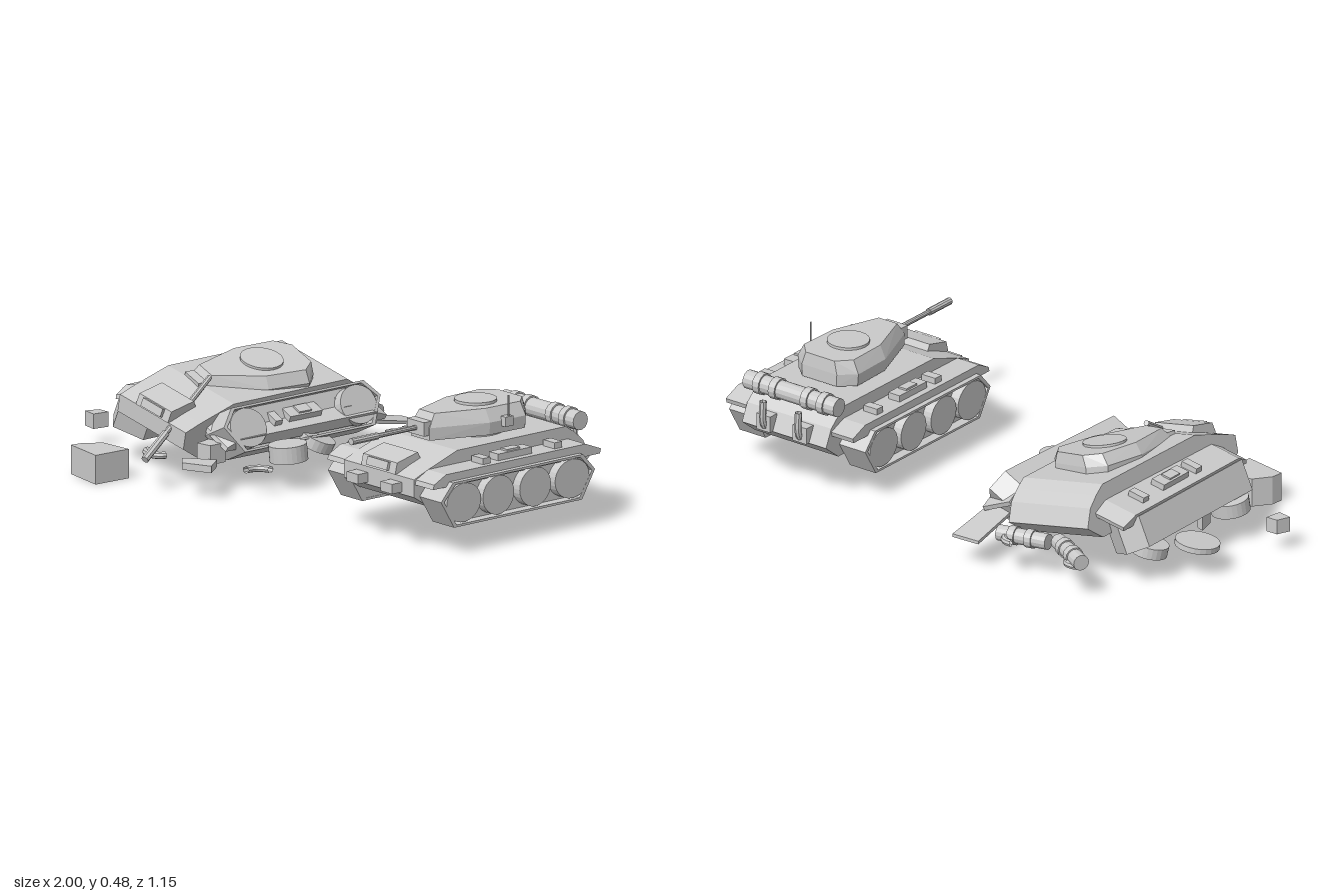
import * as THREE from 'three';
import { ConvexGeometry } from 'three/addons/geometries/ConvexGeometry.js';

const grey = new THREE.MeshStandardMaterial({ color: 0xcacaca });
grey.name = 'plain grey';
const V = (x, y, z) => new THREE.Vector3(x, y, z);

function add(parent, name, geo, pos = [0, 0, 0], rot = [0, 0, 0]) {
  const m = new THREE.Mesh(geo.index ? geo.toNonIndexed() : geo, grey);
  m.geometry.computeVertexNormals();
  m.name = name;
  m.position.set(...pos);
  m.rotation.set(...rot);
  parent.add(m);
  return m;
}
function group(parent, name, pos = [0, 0, 0], rot = [0, 0, 0], scale = [1, 1, 1]) {
  const g = new THREE.Group();
  g.name = name;
  g.position.set(...pos);
  g.rotation.set(...rot);
  g.scale.set(...scale);
  parent.add(g);
  return g;
}
const box = (w, h, d) => new THREE.BoxGeometry(w, h, d);
const cyl = (r, h, n = 20) => new THREE.CylinderGeometry(r, r, h, n);

// side profile of [z, y] points extruded along x from x0 to x1
function prism(profile, x0, x1, hole) {
  const s = new THREE.Shape(profile.map(p => new THREE.Vector2(...p)));
  if (hole) s.holes.push(new THREE.Path(hole.map(p => new THREE.Vector2(...p))));
  const g = new THREE.ExtrudeGeometry(s, { depth: x1 - x0, bevelEnabled: false });
  return g.rotateY(-Math.PI / 2).translate(x1, 0, 0);
}
// convex solid through mirrored points
const mirrored = pts => new ConvexGeometry(pts.flatMap(([x, y, z]) => [V(x, y, z), V(-x, y, z)]));
// straight rod between two points
function rod(parent, name, a, b, r, n = 8) {
  const d = b.clone().sub(a);
  const m = add(parent, name, cyl(r, d.length(), n), a.clone().add(b).multiplyScalar(0.5).toArray());
  m.quaternion.setFromUnitVectors(V(0, 1, 0), d.normalize());
}

// hollow, open-bottomed hull: one outline gives the side walls and the plating between them
const hullOutline = [[0.29, 0.155], [0.36, 0.2], [0.36, 0.264], [0.3, 0.288], [0.16, 0.336],
  [-0.34, 0.336], [-0.38, 0.31], [-0.42, 0.275], [-0.45, 0.21], [-0.38, 0.155]];
const hullInside = hullOutline.map(([z, y]) => [-0.045 + (z + 0.045) * 0.975, y < 0.16 ? y : 0.155 + (y - 0.155) * 0.95]);
function hull(g) {
  add(g, 'hullSide', prism(hullOutline, -0.185, -0.177));
  add(g, 'hullSide', prism(hullOutline, 0.177, 0.185));
  add(g, 'hullPlating', prism([...hullOutline, ...hullInside.reverse()], -0.18, 0.18));
  hullInside.reverse();
  add(g, 'driverHousing', prism([[0.365, 0.265], [0.355, 0.305], [0.26, 0.328], [0.24, 0.29]], -0.09, 0.09));
  add(g, 'visionPort', box(0.11, 0.03, 0.012), [0, 0.288, 0.364], [-0.25, 0, 0]);
}

// mudguard with its stowage, centred on its own x
function fender(g, w = 0.1) {
  add(g, 'fenderPlate', prism([[0.355, 0.245], [0.35, 0.262], [0.295, 0.29], [-0.35, 0.29],
    [-0.42, 0.262], [-0.415, 0.245]], -w / 2, w / 2));
  add(g, 'stowageBox', box(0.05, 0.026, 0.155), [0, 0.301, -0.045]);
  add(g, 'stowageLid', box(0.035, 0.008, 0.06), [0, 0.317, -0.045]);
  for (const z of [0.09, -0.24]) add(g, 'stowageClamp', box(0.06, 0.024, 0.035), [0, 0.3, z]);
}

// angular track loop with recessed centre, centred on its own x
const loop = [[0.275, 0.1], [0.335, 0.2], [0.28, 0.262], [-0.32, 0.262], [-0.375, 0.2], [-0.315, 0.1]];
const inset = loop.map(([z, y]) => [-0.02 + (z + 0.02) * 0.96, 0.181 + (y - 0.181) * 0.9]);
function track(g, side, wheels) {
  add(g, 'trackBand', prism(loop, -0.057, 0.057, inset));
  add(g, 'trackCore', prism(inset, side > 0 ? -0.055 : -0.02, side > 0 ? 0.02 : 0.055));
  wheels.forEach(z => {
    const m = add(g, 'roadWheel', cyl(0.07, 0.045, 28), [side * 0.034, 0.183, z], [0, 0, Math.PI / 2]);
    m.scale.z = Math.abs(z) > 0.2 ? 1.13 : 1.03;
  });
}

// faceted turret with hatch; its origin is the turret ring
function turret(g) {
  const plan = [[0.075, -0.25], [0.13, -0.2], [0.125, -0.04], [0.048, 0.17]];
  add(g, 'turretBody', mirrored([
    ...plan.map(([x, z]) => [x, 0.01, z]),
    ...plan.map(([x, z]) => [x * 1.03, 0.055, z]),
    ...plan.map(([x, z]) => [x * 0.84, 0.102, z > 0 ? 0.14 : z * 0.98])]));
  add(g, 'turretRing', cyl(0.11, 0.03, 24), [0, 0.005, -0.07]);
  add(g, 'hatch', cyl(0.075, 0.012, 24), [0, 0.106, -0.085]);
  add(g, 'mantlet', box(0.09, 0.05, 0.035), [0, 0.053, 0.175]);
}

// fuel drum with two bands, along x
function drum(g) {
  add(g, 'fuelDrum', cyl(0.034, 0.2, 14), [0, 0, 0], [0, 0, Math.PI / 2]);
  for (const x of [-0.03, 0.04])
    add(g, 'drumBand', cyl(0.04, 0.028, 14), [x, 0, 0], [0, 0, Math.PI / 2]);
}

// upright exhaust pipe with a bent foot
function exhaust(g, pos) {
  const c = new THREE.CatmullRomCurve3([V(0, 0, 0), V(0, 0, -0.035), V(0, 0.03, -0.05), V(0, 0.1, -0.048)]);
  add(g, 'exhaustPipe', new THREE.TubeGeometry(c, 10, 0.013, 8), pos).material = pipeMat;
}
const pipeMat = grey.clone();
pipeMat.side = THREE.DoubleSide;

function intactTank(root) {
  const g = group(root, 'intactTank', [0.695, 0, 0]);
  hull(g);
  for (const s of [-1, 1]) {
    fender(group(g, 'fender', [s * 0.23, 0, 0]));
    track(group(g, 'track', [s * 0.243, 0, 0]), s, [0.23, 0.07, -0.1, -0.27]);
    exhaust(g, [s * 0.078, 0.225, -0.42]);
    add(g, 'towHook', box(0.06, 0.035, 0.05), [s * 0.09, 0.225, 0.38]);
    add(g, 'rearBracket', box(0.06, 0.06, 0.04), [s * 0.08, 0.24, -0.445]);
    drum(group(g, 'rearDrum', [s * 0.1, 0.35, -0.395], [0, s > 0 ? 0 : Math.PI, 0]));
  }
  const t = group(g, 'turret', [0, 0.335, 0]);
  turret(t);
  rod(t, 'gunBarrel', V(0, 0.052, 0.17), V(0, 0.052, 0.49), 0.009, 10);
  rod(t, 'gunSleeve', V(0, 0.052, 0.37), V(0, 0.052, 0.49), 0.013, 10);
  add(g, 'antennaMount', box(0.025, 0.035, 0.036), [0.138, 0.387, -0.11]);
  rod(g, 'antenna', V(0.146, 0.37, -0.11), V(0.146, 0.48, -0.11), 0.003, 6);
}

function wreckedTank(root) {
  const g = group(root, 'wreckedTank');
  hull(group(g, 'collapsedHull', [-0.515, -0.015, 0.018], [0, 0, -0.2], [0.96, 1, 1.05]));
  fender(group(g, 'leaningFender', [-0.645, 0.015, -0.01], [0, 0.02, 0.18], [1.1, 0.93, 0.93]), 0.12);
  fender(group(g, 'fallenFender', [-0.325, -0.035, -0.03], [0, -0.03, -0.42], [1.1, 0.93, 0.93]), 0.12);
  // tracks splayed outwards, pivoting about their own middle
  const a = group(g, 'splayedTrack', [-0.71, 0.175, 0], [0, 0.02, 1.15]);
  track(group(a, 'track', [0, -0.181, 0]), -1, [0.23, 0.07, -0.1]);
  const b = group(g, 'splayedTrack', [-0.225, 0.19, -0.03], [0, -0.02, 0.45]);
  track(group(b, 'track', [0, -0.181, 0]), 1, [0.23, -0.27]);
  turret(group(g, 'fallenTurret', [-0.465, 0.272, 0], [0.03, -0.2, -0.22], [1.08, 0.88, 1]));
  rod(g, 'droopingBarrel', V(-0.42, 0.345, 0.17), V(-0.345, 0.125, 0.535), 0.01, 8);
  rod(g, 'droopingSleeve', V(-0.369, 0.196, 0.417), V(-0.345, 0.125, 0.535), 0.014, 8);
  drum(group(g, 'fallenDrum', [-0.6, 0.14, -0.495], [0, -0.5, 0], [1, 0.85, 0.85]));
  drum(group(g, 'fallenDrum', [-0.39, 0.135, -0.485], [0, 0.12, -0.05], [1, 0.85, 0.85]));
}

function debris(root) {
  const g = group(root, 'debris');
  // loose wheels: x, y, z, radius, thickness, tilt
  [[-0.855, 0.105, -0.1, 0.08, 0.02, 0.1], [-0.755, 0.11, -0.24, 0.065, 0.04, 0.15],
    [-0.765, 0.12, 0.2, 0.07, 0.05, -0.1], [-0.085, 0.13, 0.1, 0.068, 0.06, 0.06],
    [-0.17, 0.12, -0.1, 0.068, 0.04, -0.3]].forEach(([x, y, z, r, h, t]) =>
    add(g, 'looseWheel', cyl(r, h, 24), [x, y, z], [t, 0, t]));
  // broken boxes
  const block = (name, plan, y0, y1) =>
    add(g, name, new ConvexGeometry(plan.flatMap(([x, z]) => [V(x, y0, z), V(x, y1, z)])));
  block('brokenCrate', [[-0.675, 0.44], [-0.55, 0.43], [-0.56, 0.575], [-0.725, 0.545], [-0.72, 0.5]], 0, 0.105);
  block('smallFragment', [[-0.98, 0.19], [-0.935, 0.19], [-0.945, 0.25], [-1, 0.24]], 0.068, 0.122);
  block('armourFragment', [[-0.28, 0.42], [-0.18, 0.345], [-0.125, 0.42], [-0.23, 0.465]], 0.1, 0.125);
  block('trackFragment', [[-0.8, 0], [-0.77, 0.01], [-0.75, 0.09], [-0.78, 0.07]], 0.1, 0.16);
  block('hullFragment', [[-0.29, 0.27], [-0.21, 0.28], [-0.21, 0.35], [-0.27, 0.36]], 0.1, 0.17);
  add(g, 'tornPlate', new ConvexGeometry([[-0.255, 0.1, -0.57], [-0.145, 0.1, -0.575], [-0.145, 0.14, -0.36],
    [-0.245, 0.14, -0.37]].flatMap(([x, y, z]) => [V(x, y, z), V(x, y + 0.012, z)])));
  // bent pipes lying flat: x, y, z, bend radius, arc, turn
  [[-0.115, 0.1, -0.15, 0.058, 1.6, 1.57], [-0.04, 0.095, 0.275, 0.055, 1.8, -2.9],
    [-0.435, 0.11, 0.385, 0.05, 2.4, -0.35], [-0.645, 0.12, -0.5, 0.045, 1.4, 2.2],
    [-0.37, 0.13, -0.505, 0.04, 1.6, 1.8]].forEach(([x, y, z, r, arc, turn]) =>
    add(g, 'bentPipe', new THREE.TorusGeometry(r, 0.013, 8, 10, arc).rotateX(Math.PI / 2),
      [x, y, z], [0, turn, 0]).material = pipeMat);
}

export function createModel() {
  const root = new THREE.Group();
  root.name = 'tankAndWreck';
  intactTank(root);
  wreckedTank(root);
  debris(root);
  return root;
}
